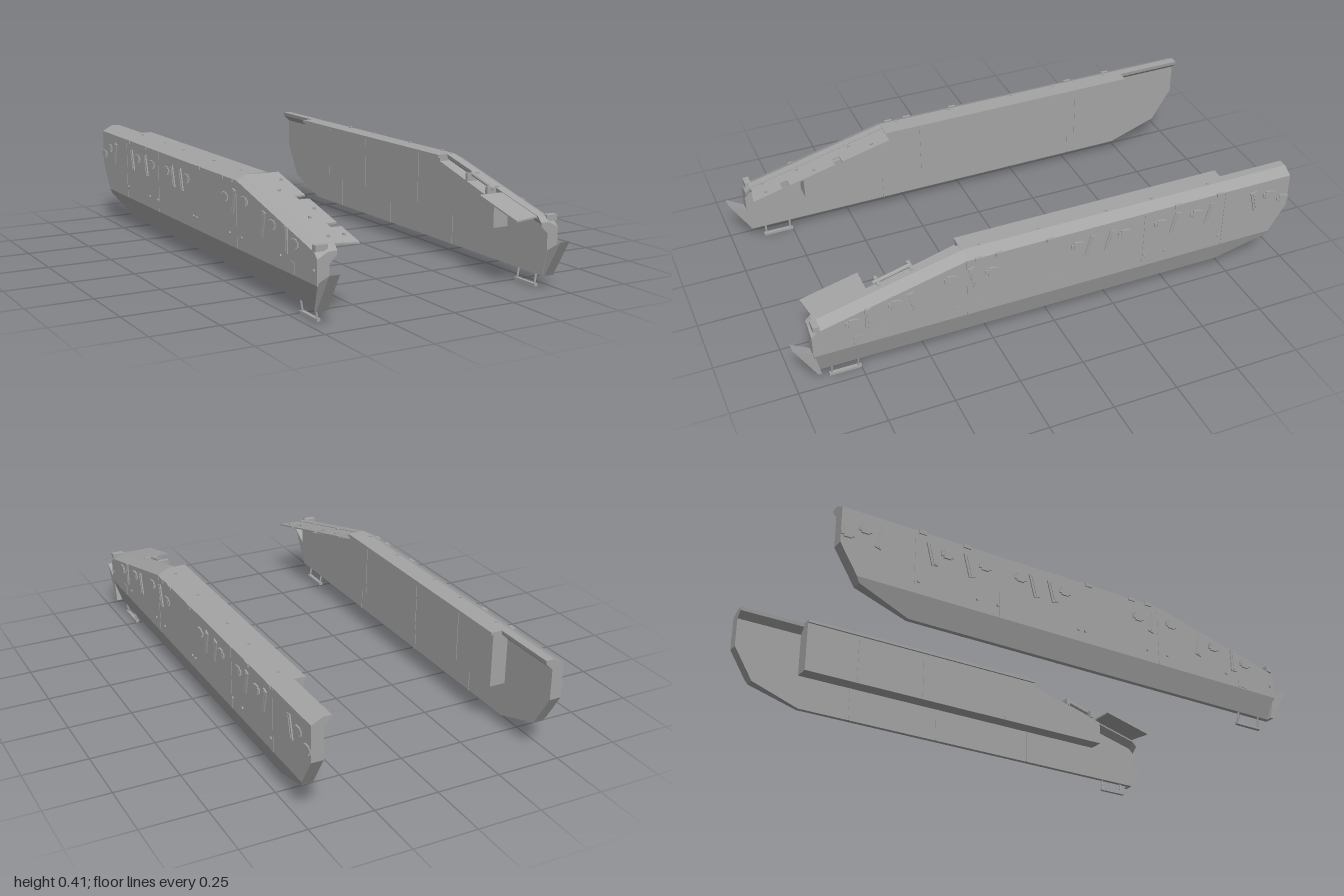
import * as THREE from 'three';

const steel = new THREE.MeshStandardMaterial({ color: 0xa4a4a4 });
steel.name = 'bare grey steel';
steel.flatShading = true;

function add(parent, name, geometry) {
  const m = new THREE.Mesh(geometry, steel);
  m.name = name;
  parent.add(m);
  return m;
}

function box(parent, name, w, h, d, x, y, z) {
  const m = add(parent, name, new THREE.BoxGeometry(w, h, d));
  m.position.set(x, y, z);
  return m;
}

// Side profile in (z, y), extruded across x from xa to xb
function slab(parent, name, points, xa, xb) {
  const shape = new THREE.Shape(points.map(p => new THREE.Vector2(...p)));
  const g = new THREE.ExtrudeGeometry(shape, { depth: Math.abs(xb - xa), bevelEnabled: false });
  g.rotateY(-Math.PI / 2).translate(Math.max(xa, xb), 0, 0);
  return add(parent, name, g);
}

// Height of the skirt's top edge along z
const topAt = z => (z < 0.345 ? 0.41 : 0.41 - 0.14 * (z - 0.345) / 0.565);

// Long armoured skirt lofted through cross-sections, s = side
function skirtGeometry(s) {
  const stations = [[-1, 0.25], [-0.932, 0.14], [-0.92, 0.12], [-0.72, 0.05],
    [0.345, 0.05], [0.91, 0.05], [0.93, 0.14]];
  const n = 8, pos = [], idx = [];
  for (const [z, yb] of stations) {
    const yt = z > 0.92 ? 0.25 : topAt(z);
    const xb = yb < 0.14 ? 0.49 - 0.028 * (0.14 - yb) / 0.09 : 0.49;
    const ring = [[0.444, yb], [xb, yb], [0.49, Math.max(0.14, yb)], [0.49, yt - 0.022],
      [0.448, yt], [0.415, yt], [0.417, yt - 0.015], [0.444, yt - 0.04]];
    for (const [x, y] of ring) pos.push(s * x, y, z);
  }
  const tri = (a, b, c) => (s > 0 ? idx.push(a, b, c) : idx.push(a, c, b));
  for (let i = 0; i < stations.length - 1; i++) {
    for (let j = 0; j < n; j++) {
      const a = i * n + j, b = i * n + (j + 1) % n;
      tri(a, b, b + n);
      tri(a, b + n, a + n);
    }
  }
  // End caps, fanned from the inner top corner so the concave overhang stays clean
  const e = (stations.length - 1) * n;
  for (let k = 1; k < n - 1; k++) {
    const a = 7, b = (7 + k) % n, c = (8 + k) % n;
    tri(a, c, b);
    tri(e + a, e + b, e + c);
  }
  const g = new THREE.BufferGeometry();
  g.setAttribute('position', new THREE.Float32BufferAttribute(pos, 3));
  g.setIndex(idx);
  const flat = g.toNonIndexed();
  flat.computeVertexNormals();
  return flat;
}

// Thin deck plate outlined in (x, z), laid on the sloping front edge
function deckPlate(parent, name, outline) {
  const shape = new THREE.Shape(outline.map(p => new THREE.Vector2(...p)));
  const g = new THREE.ExtrudeGeometry(shape, { depth: 0.006, bevelEnabled: false });
  g.rotateX(Math.PI / 2);
  const p = g.attributes.position;
  for (let i = 0; i < p.count; i++) p.setY(i, p.getY(i) + topAt(p.getZ(i)) - 0.002);
  g.computeVertexNormals();
  return add(parent, name, g);
}

function rod(parent, name, a, b, r) {
  const va = new THREE.Vector3(...a), vb = new THREE.Vector3(...b);
  return add(parent, name, new THREE.TubeGeometry(new THREE.LineCurve3(va, vb), 1, r, 8));
}

function bolt(parent, x, y, z, axis) {
  const g = new THREE.CylinderGeometry(0.006, 0.006, 0.008, 8);
  if (axis === 'x') g.rotateZ(Math.PI / 2);
  add(parent, 'bolt', g).position.set(x, y, z);
}

function buildSide(s) {
  const side = new THREE.Group();
  side.name = s > 0 ? 'leftSkirt' : 'rightSkirt';
  add(side, 'skirtWall', skirtGeometry(s));

  // Inner sponson box and its roof
  slab(side, 'sponson', [[-0.73, 0.19], [0.7, 0.19], [0.7, 0.29], [0.35, 0.385], [0.35, 0.4], [-0.73, 0.4]],
    s * 0.38, s * 0.445);
  box(side, 'sponsonRoof', 0.074, 0.012, 1.08, s * 0.409, 0.404, -0.19);

  // Front mud flap
  slab(side, 'mudFlap', [[0.905, 0.05], [0.918, 0.05], [1, 0.19], [0.925, 0.145]], s * 0.446, s * 0.486);
  box(side, 'noseLamp', 0.046, 0.022, 0.024, s * 0.469, 0.262, 0.91);

  // Hanging step
  for (const z of [0.76, 0.86]) rod(side, 'stepHanger', [s * 0.458, 0.055, z], [s * 0.45, 0.008, z], 0.004);
  box(side, 'stepBar', 0.014, 0.01, 0.12, s * 0.45, 0.005, 0.81);

  // Slanted bracket bars on the outer wall: z, y, tilt
  const bars = [[0.72, 0.25, 0], [0.55, 0.272, -0.25], [0.32, 0.31, -0.25], [-0.145, 0.31, 0.25],
    [-0.225, 0.31, 0.25], [-0.5, 0.31, 0.25], [-0.65, 0.31, 0.25], [-0.85, 0.31, -0.25]];
  for (const [z, y, tilt] of bars) {
    box(side, 'bracketBar', 0.008, 0.09, 0.026, s * 0.491, y, z).rotation.x = -tilt;
    box(side, 'bracketRib', 0.012, 0.08, 0.008, s * 0.491, y, z).rotation.x = -tilt;
  }
  const blocks = [[0.78, 0.25], [0.62, 0.283], [0.41, 0.325], [0.25, 0.315], [-0.09, 0.325],
    [-0.285, 0.325], [-0.435, 0.325], [-0.59, 0.325], [-0.91, 0.325], [-0.975, 0.29]];
  for (const [z, y] of blocks) {
    box(side, 'mountBlock', 0.01, 0.032, 0.03, s * 0.491, y, z);
    box(side, 'mountTab', 0.01, 0.018, 0.05, s * 0.49, y, z);
  }
  box(side, 'hatch', 0.006, 0.04, 0.04, s * 0.489, 0.165, 0.76);

  // Bolts along the waist and on the roof
  for (const z of [0.91, 0.68, 0.385, 0.29, 0, -0.03, -0.38, -0.465, -0.7]) bolt(side, s * 0.491, 0.187, z, 'x');
  for (const z of [0.3, 0.22, 0.02, -0.51, -0.69]) box(side, 'edgeClip', 0.012, 0.014, 0.03, s * 0.489, 0.384, z);
  for (const z of [0.28, 0.05, -0.23, -0.42, -0.66]) bolt(side, s * 0.44, 0.41, z, 'y');

  // Panel seams outside, on the sponson and on the inner wall
  for (const z of [0.345, -0.37, -0.715]) box(side, 'outerSeam', 0.003, 0.245, 0.004, s * 0.49, 0.263, z);
  for (const z of [0.2, -0.2, -0.5]) box(side, 'sponsonSeam', 0.004, 0.2, 0.005, s * 0.38, 0.295, z);
  for (const z of [0.35, -0.1, -0.5]) box(side, 'innerSeam', 0.004, 0.14, 0.005, s * 0.444, 0.12, z);
  return side;
}

export function createModel() {
  const model = new THREE.Group();
  model.name = 'sideSkirts';
  const left = buildSide(1), right = buildSide(-1);
  model.add(left, right);

  // Deck plates differ between the sides
  deckPlate(left, 'shortDeckPlate', [[0.45, 0.7], [0.45, 0.9], [0.315, 0.92], [0.315, 0.7]]);
  deckPlate(right, 'longDeckPlate', [[-0.45, 0.35], [-0.325, 0.35], [-0.325, 0.55], [-0.365, 0.55], [-0.365, 0.58],
    [-0.325, 0.58], [-0.325, 0.77], [-0.365, 0.77], [-0.365, 0.8], [-0.325, 0.8], [-0.325, 0.92], [-0.45, 0.9]]);
  for (const [x, z] of [[-0.35, 0.42], [-0.4, 0.5], [-0.35, 0.66], [-0.4, 0.72], [-0.35, 0.86], [-0.41, 0.86]]) {
    bolt(right, x, topAt(z), z, 'y');
  }

  // Hinge mechanism on the open part of the left deck
  rod(left, 'hingeRod', [0.402, 0.365, 0.53], [0.402, 0.328, 0.67], 0.008);
  for (const z of [0.53, 0.655]) box(left, 'hingeBracket', 0.055, 0.03, 0.014, 0.405, topAt(z) - 0.012, z);
  return model;
}
